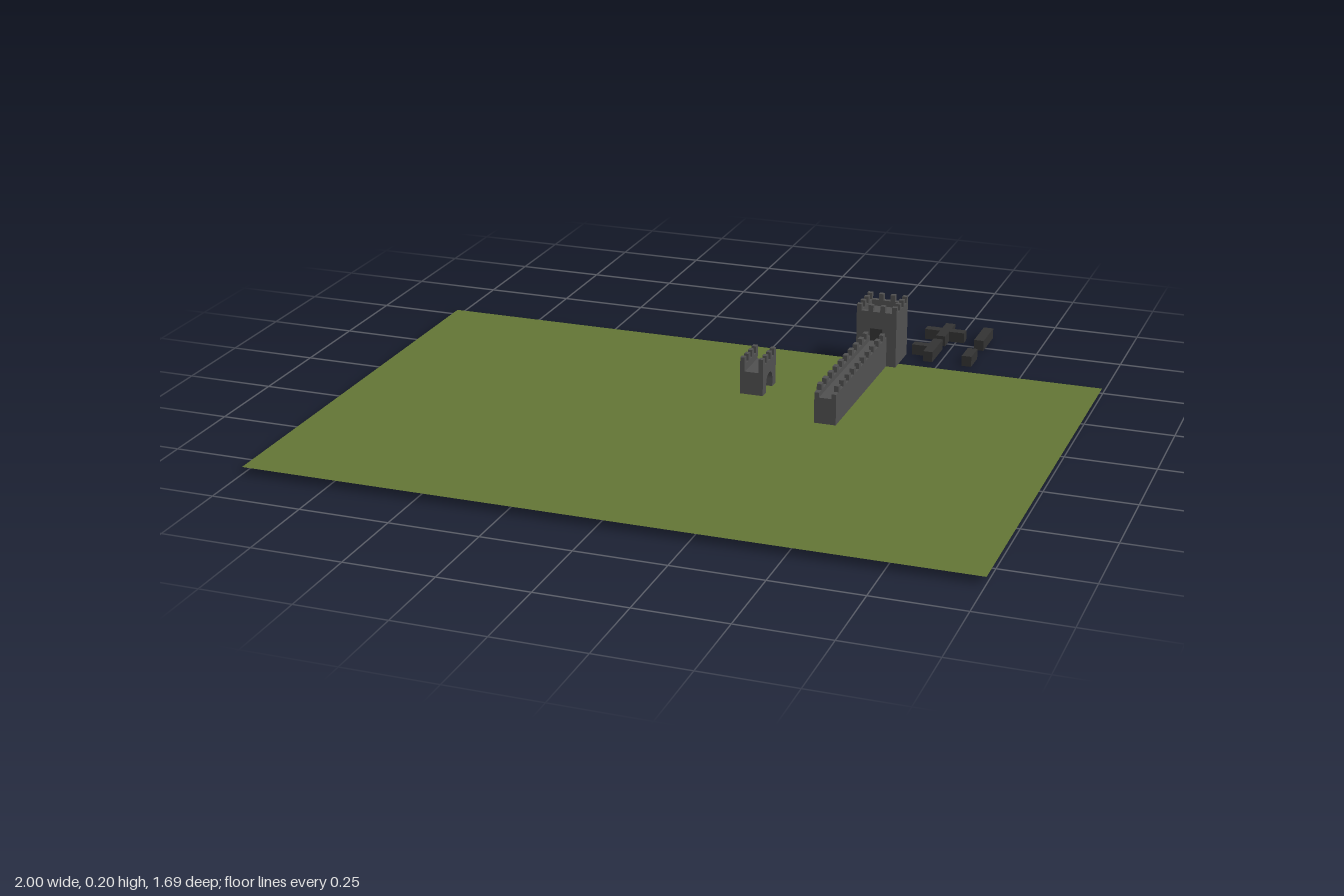
import * as THREE from 'three';

const mat = (name, color) => new THREE.MeshStandardMaterial({ name, color });

export function createModel() {
  const grass = mat('grassGreen', 0x647635);
  grass.side = THREE.DoubleSide;
  const stone = mat('stoneGrey', 0x505050);
  const dark = mat('charcoal', 0x333333);

  const model = new THREE.Group();
  model.name = 'castleKit';
  const group = (name) => {
    const g = new THREE.Group();
    g.name = name;
    model.add(g);
    return g;
  };
  // Box given by its minimum and maximum on each axis
  const box = (parent, name, m, x0, x1, y0, y1, z0, z1) => {
    const mesh = new THREE.Mesh(new THREE.BoxGeometry(x1 - x0, y1 - y0, z1 - z0), m);
    mesh.position.set((x0 + x1) / 2, (y0 + y1) / 2, (z0 + z1) / 2);
    mesh.name = name;
    parent.add(mesh);
  };
  const base = 0.021;

  // Flat field
  const field = new THREE.Mesh(new THREE.PlaneGeometry(2, 1.33).rotateX(-Math.PI / 2), grass);
  field.position.set(0, 0.02, 0.18);
  field.name = 'field';
  model.add(field);

  // Hollow square tower: four walls, a roof deck and merlons around the edge
  const tower = group('tower');
  const [tx0, tx1, tz0, tz1, t] = [0.285, 0.404, -0.568, -0.449, 0.014];
  box(tower, 'towerLeftWall', stone, tx1 - t, tx1, base, 0.183, tz0, tz1);
  box(tower, 'towerRightWall', stone, tx0, tx0 + t, base, 0.183, tz0, tz1);
  box(tower, 'towerFrontWall', stone, tx0 + t, tx1 - t, base, 0.183, tz1 - t, tz1);
  box(tower, 'towerBackWall', stone, tx0 + t, tx1 - t, base, 0.183, tz0, tz0 + t);
  box(tower, 'towerDeck', stone, tx0 + t, tx1 - t, 0.155, 0.165, tz0 + t, tz1 - t);
  const step = (tx1 - tx0 - t) / 3;
  for (let i = 0; i < 4; i++) {
    for (let j = 0; j < 4; j++) {
      if (i % 3 && j % 3) continue;
      const x = tx0 + i * step, z = tz0 + j * step;
      box(tower, 'towerMerlon', stone, x, x + t, 0.183, 0.202, z, z + t);
    }
  }
  // Door from the wall walk into the tower
  box(tower, 'towerDoor', dark, 0.327, 0.363, 0.096, 0.133, tz1, tz1 + 0.003);

  // Long curtain wall with a sunken walk between two parapets
  const wall = group('curtainWall');
  const [wx0, wx1, wz1, p] = [0.314, 0.376, 0.041, 0.013];
  box(wall, 'wallBody', stone, wx0, wx1, base, 0.096, tz1, wz1);
  for (const x of [wx0, wx1 - p]) {
    box(wall, 'wallParapet', stone, x, x + p, 0.096, 0.11, tz1, wz1);
    for (let i = 0; i < 10; i++) {
      const z = 0.01 - i * 0.048;
      box(wall, 'wallMerlon', stone, x, x + p, 0.11, 0.127, z - 0.01, z + 0.01);
    }
  }

  // Small gatehouse with an arched passage running across it
  const gate = group('gatehouse');
  const [gx0, gx1, gz0, gz1] = [0.051, 0.118, -0.216, -0.102];
  const w = gz1 - gz0, h = 0.088 - base, a = 0.027;
  const profile = new THREE.Shape();
  profile.moveTo(-w / 2, 0);
  profile.lineTo(-a, 0);
  profile.lineTo(-a, 0.025);
  profile.absarc(0, 0.025, a, Math.PI, 0, true);
  profile.lineTo(a, 0);
  profile.lineTo(w / 2, 0);
  profile.lineTo(w / 2, h);
  profile.lineTo(-w / 2, h);
  const body = new THREE.Mesh(
    new THREE.ExtrudeGeometry(profile, { depth: gx1 - gx0, bevelEnabled: false, curveSegments: 8 }), stone);
  body.rotation.y = Math.PI / 2;
  body.position.set(gx0, base, (gz0 + gz1) / 2);
  body.name = 'gateBody';
  gate.add(body);
  for (const x of [gx0, gx1 - p]) {
    box(gate, 'gateParapet', stone, x, x + p, 0.088, 0.109, gz0, gz1);
    for (let i = 0; i < 4; i++) {
      const z = gz0 + i * (w - 0.016) / 3;
      box(gate, 'gateMerlon', stone, x, x + p, 0.109, 0.129, z, z + 0.016);
    }
  }

  // Loose low wall pieces: cross, tee, long bar and short bar
  const piece = (name, ...r) => box(pieces, name, dark, r[0], r[1], 0, 0.031, r[2], r[3]);
  const pieces = group('loosePieces');
  piece('crossLong', 0.45, 0.478, -0.845, -0.727);
  piece('crossRightArm', 0.404, 0.45, -0.801, -0.772);
  piece('crossLeftArm', 0.478, 0.524, -0.801, -0.772);
  piece('teeLong', 0.45, 0.478, -0.7, -0.583);
  piece('teeArm', 0.404, 0.45, -0.656, -0.628);
  piece('longBar', 0.566, 0.595, -0.845, -0.727);
  piece('shortBar', 0.566, 0.595, -0.655, -0.583);

  return model;
}
